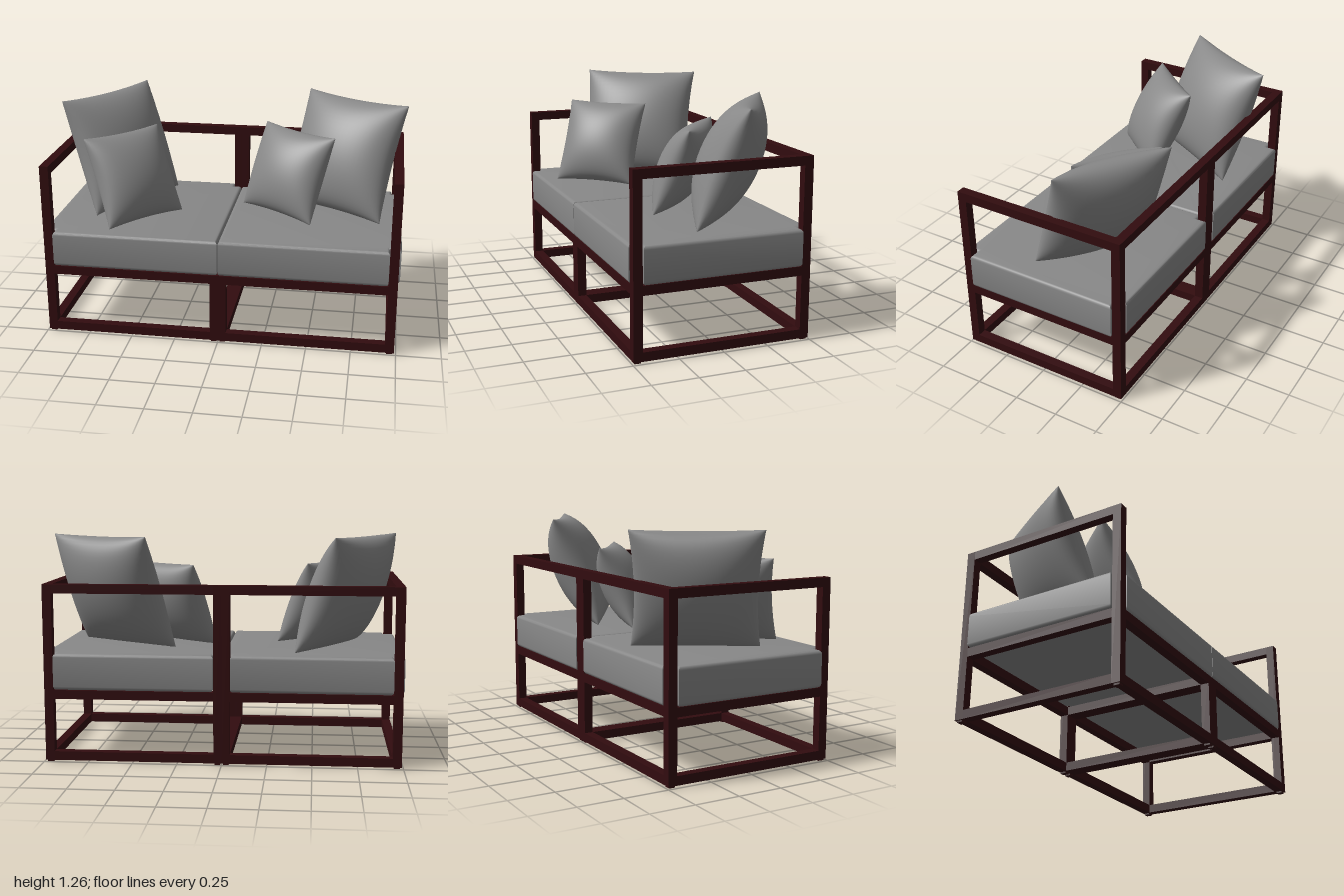
import * as THREE from 'three';
import { mergeGeometries, mergeVertices, toCreasedNormals } from 'three/addons/utils/BufferGeometryUtils.js';

const wood = new THREE.MeshStandardMaterial({ color: 0x320c0f });
wood.name = 'dark wood';
const fabric = new THREE.MeshStandardMaterial({ color: 0x888888 });
fabric.name = 'grey fabric';

// Box given by its lower and upper corners
function bar(group, name, a, b) {
  const mesh = new THREE.Mesh(new THREE.BoxGeometry(b[0] - a[0], b[1] - a[1], b[2] - a[2]), wood);
  mesh.position.set((a[0] + b[0]) / 2, (a[1] + b[1]) / 2, (a[2] + b[2]) / 2);
  mesh.name = name;
  group.add(mesh);
}

// One half of the frame; side is +1 for the left half, -1 for the right
function frameHalf(side) {
  const g = new THREE.Group();
  g.name = side > 0 ? 'leftFrame' : 'rightFrame';
  const W = 0.99, D = 0.495, T = 0.05, C = 0.045;
  const add = (name, x0, x1, y0, y1, z0, z1) =>
    bar(g, name, [side > 0 ? x0 : -x1, y0, z0], [side > 0 ? x1 : -x0, y1, z1]);

  // Posts and feet
  for (const [z0, place, top] of [[D - T, 'front', 0.41], [-D, 'back', 1]]) {
    add(place + 'Post', W - T, W, 0.01, 1, z0, z0 + T);
    add(place + 'CentrePost', 0, C, 0.01, top, z0, z0 + T);
    add(place + 'Foot', W - T + 0.008, W - 0.008, 0, 0.01, z0 + 0.008, z0 + T - 0.008);
    add(place + 'CentreFoot', 0.008, C - 0.006, 0, 0.01, z0 + 0.008, z0 + T - 0.008);
  }
  // Floor rails and seat rails
  for (const [y0, level] of [[0.01, 'floor'], [0.36, 'seat']]) {
    for (const z0 of [D - T, -D]) add(level + 'Rail', C, W - T, y0, y0 + T, z0, z0 + T);
    add(level + 'SideRail', W - T, W, y0, y0 + T, -D + T, D - T);
    add(level + 'CentreRail', 0, C, y0, y0 + T, -D + T, D - T);
  }
  // Arm and back rest
  add('armRail', W - T, W, 0.95, 1, -D + T, D - T);
  add('backRail', C, W - T, 0.95, 1, -D, -D + T);
  return g;
}

// Seat cushion, notched around the posts, with rounded edges
function seatCushion(side) {
  const B = 0.02;
  const outline = [
    [0.002, 0.5], [0.938, 0.5], [0.938, 0.443], [1, 0.443], [1, -0.443], [0.938, -0.443],
    [0.938, -0.5], [0.047, -0.5], [0.047, -0.443], [0.002, -0.443],
  ].map(([x, z]) => new THREE.Vector2(side * x, -z));
  const geo = new THREE.ExtrudeGeometry(new THREE.Shape(outline), {
    depth: 0.205 - 2 * B, bevelSize: B, bevelOffset: -B, bevelThickness: B, bevelSegments: 4,
  });
  geo.rotateX(-Math.PI / 2);
  const mesh = new THREE.Mesh(toCreasedNormals(geo, 0.7), fabric);
  mesh.position.y = 0.41 + B;
  mesh.name = side > 0 ? 'leftSeatCushion' : 'rightSeatCushion';
  return mesh;
}

// Stuffed square pillow: two puffed faces meeting in a seam with pointed corners
function pillow(name, halfW, halfH, thick, position, yaw, tilt) {
  const front = new THREE.PlaneGeometry(2, 2, 28, 28);
  const back = front.clone().rotateY(Math.PI);
  const geo = mergeGeometries([front, back]);
  geo.deleteAttribute('uv');
  geo.deleteAttribute('normal');
  const p = geo.attributes.position;
  const half = p.count / 2;
  for (let i = 0; i < p.count; i++) {
    const u = Math.sin(p.getX(i) * Math.PI / 2), v = Math.sin(p.getY(i) * Math.PI / 2);
    const fu = Math.max(0, 1 - u * u), fv = Math.max(0, 1 - v * v);
    const puff = thick * Math.pow(fu * fv, 0.5);
    p.setXYZ(i,
      halfW * u * (1 - 0.07 * fv),
      halfH * v * (1 - 0.05 * fu),
      (i < half ? 1 : -1) * (puff < 1e-5 ? 0 : puff));
  }
  const merged = mergeVertices(geo, 1e-5);
  merged.computeVertexNormals();
  const mesh = new THREE.Mesh(merged, fabric);
  mesh.position.set(...position);
  mesh.rotation.set(tilt, yaw, 0, 'YXZ');
  mesh.name = name;
  return mesh;
}

export function createModel() {
  const model = new THREE.Group();
  model.name = 'sofa';
  for (const side of [1, -1]) model.add(frameHalf(side), seatCushion(side));
  model.add(
    pillow('rightLargePillow', 0.35, 0.345, 0.165, [-0.685, 0.94, -0.15], 1.03, -0.37),
    pillow('leftLargePillow', 0.34, 0.345, 0.165, [0.645, 0.94, -0.18], -0.53, -0.39),
    pillow('rightSmallPillow', 0.255, 0.265, 0.13, [-0.545, 0.857, 0.15], 0.84, -0.46),
    pillow('leftSmallPillow', 0.265, 0.255, 0.13, [0.33, 0.86, -0.043], -0.64, -0.4),
  );
  return model;
}
